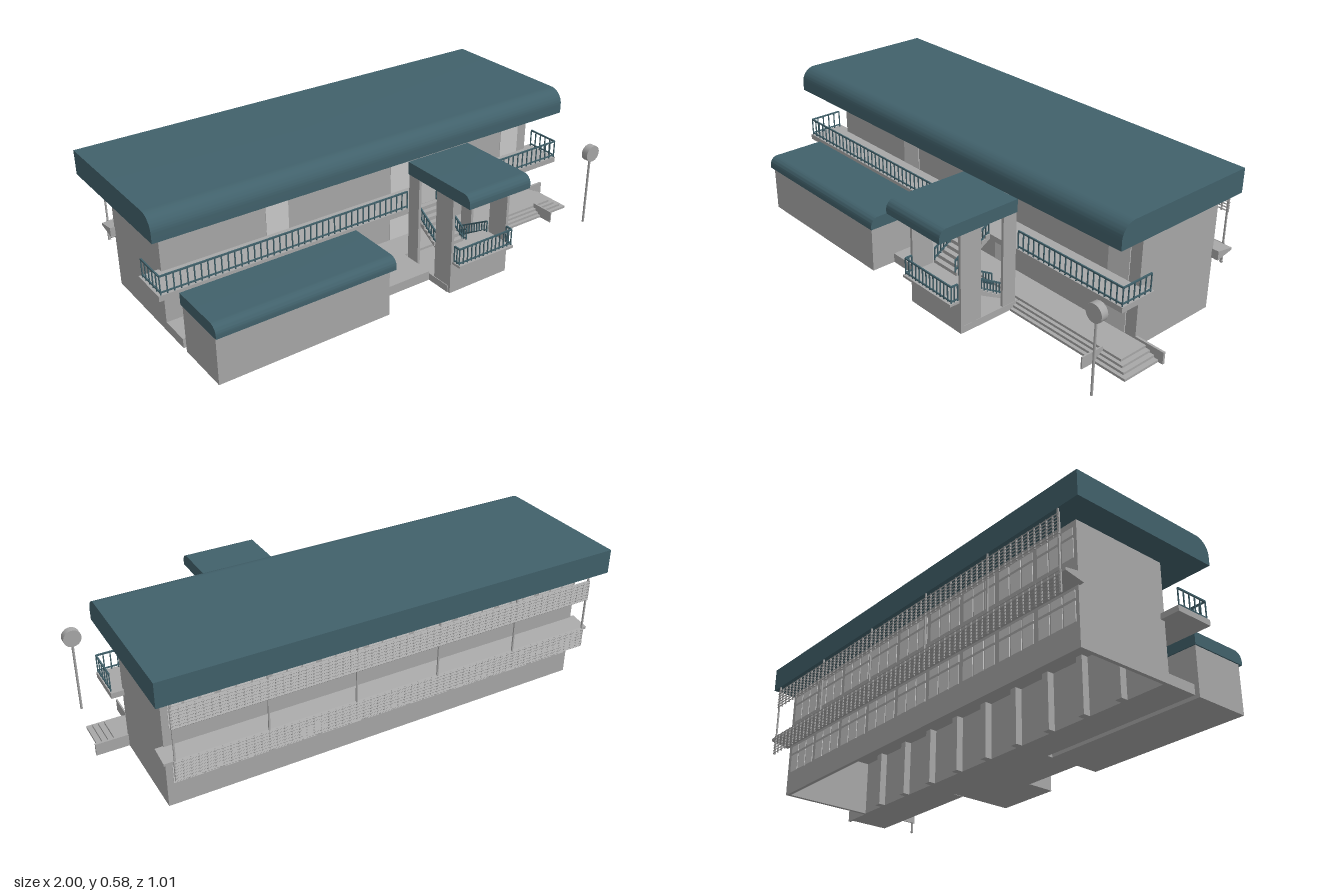
import * as THREE from 'three';
import { toCreasedNormals } from 'three/addons/utils/BufferGeometryUtils.js';

const material = (name, color) => {
  const m = new THREE.MeshStandardMaterial({ color });
  m.name = name;
  return m;
};

export function createModel() {
  const model = new THREE.Group();
  model.name = 'twoStoreyGalleryBuilding';
  const concrete = material('concrete grey', 0xa8a8a8);
  const teal = material('roof teal', 0x41616b);
  const glass = material('pale glass', 0xcacaca);

  const group = (name) => {
    const g = new THREE.Group();
    g.name = name;
    model.add(g);
    return g;
  };
  const add = (parent, name, geo, mat) => {
    const m = new THREE.Mesh(geo, mat);
    m.name = name;
    parent.add(m);
    return m;
  };
  // Box given by its limits on each axis
  const box = (parent, name, mat, x0, x1, y0, y1, z0, z1) => {
    const m = add(parent, name, new THREE.BoxGeometry(x1 - x0, y1 - y0, z1 - z0), mat);
    m.position.set((x0 + x1) / 2, (y0 + y1) / 2, (z0 + z1) / 2);
    return m;
  };
  // Side profile (shape x is -z) swept along x
  const sweepX = (parent, name, mat, shape, x0, x1) => {
    let geo = new THREE.ExtrudeGeometry(shape, { depth: x1 - x0, bevelEnabled: false, curveSegments: 10 });
    geo.rotateY(Math.PI / 2).translate(x0, 0, 0);
    return add(parent, name, toCreasedNormals(geo, 0.5), mat);
  };
  const profile = (pts) => new THREE.Shape(pts.map(([z, y]) => new THREE.Vector2(-z, y)));
  // Slab roof with a rounded front top edge
  const roof = (name, x0, x1, y0, y1, zBack, zFront, r) => {
    const s = new THREE.Shape();
    s.moveTo(-zBack, y0);
    s.lineTo(-zBack, y1);
    s.lineTo(-zFront + r, y1);
    s.absarc(-zFront + r, y1 - r, r, Math.PI / 2, Math.PI, false);
    s.lineTo(-zFront, y0);
    s.closePath();
    sweepX(model, name, teal, s, x0, x1);
  };
  // Straight bar between two points
  const bar = (parent, name, a, b, t) => {
    const m = add(parent, name, new THREE.BoxGeometry(t, t, a.distanceTo(b)), teal);
    m.position.copy(a).lerp(b, 0.5);
    m.lookAt(b);
  };
  // Railing between two floor points
  const railing = (parent, from, to, height, gap = 0.01, step = 0.027) => {
    const a = new THREE.Vector3(...from), b = new THREE.Vector3(...to);
    const up = (p, h) => p.clone().add(new THREE.Vector3(0, h, 0));
    bar(parent, 'topRail', up(a, height), up(b, height), 0.006);
    bar(parent, 'bottomRail', up(a, gap), up(b, gap), 0.005);
    const n = Math.max(2, Math.round(a.distanceTo(b) / step));
    for (let i = 0; i <= n; i++) {
      const p = a.clone().lerp(b, i / n);
      box(parent, 'baluster', teal, p.x - 0.002, p.x + 0.002, p.y, p.y + height, p.z - 0.002, p.z + 0.002);
    }
  };

  // Main block: four walls, open underneath, with an upper floor and ceiling
  const main = group('mainBlock');
  box(main, 'frontWall', concrete, -0.91, 0.87, 0, 0.47, -0.025, -0.01);
  box(main, 'backWall', concrete, -0.91, 0.87, 0, 0.47, -0.42, -0.405);
  box(main, 'leftEndWall', concrete, 0.855, 0.87, 0, 0.47, -0.405, -0.025);
  box(main, 'rightEndWall', concrete, -0.91, -0.895, 0, 0.47, -0.405, -0.025);
  box(main, 'upperFloor', concrete, -0.895, 0.855, 0.235, 0.25, -0.405, -0.025);
  box(main, 'ceiling', concrete, -0.895, 0.855, 0.455, 0.47, -0.405, -0.025);
  for (let i = 0; i < 9; i++) {
    const x = -0.72 + i * 0.18;
    box(main, 'innerPier', concrete, x - 0.015, x + 0.015, 0, 0.235, -0.055, -0.025);
  }

  // Front doors and high strip windows on both floors
  const openings = group('frontOpenings');
  const pane = (name, x0, x1, y0, y1, z = -0.01) =>
    box(openings, name, glass, x0, x1, y0, y1, z - 0.003, z + 0.003);
  for (const x of [-0.47, 0.12, 0.72]) {
    pane('upperDoor', x, x + 0.1, 0.262, 0.45);
    pane('lowerDoor', x, x + 0.1, 0.042, 0.222);
  }
  for (const x of [-0.895, -0.7, -0.31, -0.11, 0.285, 0.48]) {
    pane('upperStripWindow', x, x + 0.18, 0.415, 0.45);
    pane('lowerStripWindow', x, x + 0.18, 0.19, 0.222);
  }

  // Rear windows: a tall band with small lights above
  for (const floor of [0, 0.235]) {
    for (let i = 0; i < 9; i++) {
      for (let j = 0; j < 3; j++) {
        const x = -0.895 + i * 0.196 + j * 0.06;
        pane('rearWindow', x, x + 0.052, floor + 0.095, floor + 0.17, -0.42);
        pane('rearTopLight', x, x + 0.052, floor + 0.18, floor + 0.21, -0.42);
      }
    }
  }

  // Roofs
  roof('mainRoof', -1, 0.91, 0.48, 0.58, -0.5, 0.15, 0.062);
  roof('annexRoof', -0.915, -0.158, 0.2, 0.25, 0.14, 0.4, 0.036);
  roof('stairTowerRoof', 0.097, 0.4, 0.417, 0.47, 0.137, 0.505, 0.036);

  // Rear ledge and sun screens
  const rear = group('rearSunScreen');
  sweepX(rear, 'rearLedge', concrete,
    profile([[-0.415, 0.222], [-0.415, 0.26], [-0.495, 0.248], [-0.495, 0.238]]), -0.93, 0.9);
  for (const y0 of [0.165, 0.38]) {
    for (let i = 0; i < 7; i++) {
      const slat = box(rear, 'slat', concrete, -0.91, 0.865, -0.0015, 0.0015, -0.006, 0.006);
      slat.position.set(-0.0225, y0 + 0.006 + i * 0.0125, -0.498);
      slat.rotation.x = -0.7;
    }
    for (let i = 0; i <= 60; i++) {
      const x = -0.91 + i * 0.02955;
      box(rear, 'fin', concrete, x - 0.002, x + 0.002, y0, y0 + 0.084, -0.5, -0.494);
    }
  }
  for (let i = 0; i <= 5; i++) {
    const x = -0.905 + i * 0.353;
    box(rear, 'screenPost', concrete, x - 0.003, x + 0.003, 0.165, 0.48, -0.499, -0.493);
  }

  // Upper gallery along the front
  const gallery = group('gallery');
  box(gallery, 'gallerySlab', concrete, -0.99, 0.92, 0.237, 0.26, -0.03, 0.135);
  railing(gallery, [-0.98, 0.26, 0.13], [0.1, 0.26, 0.13], 0.075);
  railing(gallery, [0.4, 0.26, 0.13], [0.915, 0.26, 0.13], 0.075);
  railing(gallery, [-0.98, 0.26, -0.015], [-0.98, 0.26, 0.13], 0.075);
  railing(gallery, [0.915, 0.26, -0.015], [0.915, 0.26, 0.13], 0.075);

  // Ground terrace with wrap-around steps
  const terrace = group('terrace');
  box(terrace, 'terraceFloor', concrete, -0.91, 0.9, 0, 0.04, -0.01, 0.12);
  for (let i = 0; i < 4; i++)
    box(terrace, 'step', concrete, 0.4, 0.92 + i * 0.02, 0, 0.04 - i * 0.01, -0.01, 0.12 + i * 0.015);
  box(terrace, 'entrancePaving', concrete, -0.18, 0.1, 0, 0.04, 0.12, 0.28);
  box(terrace, 'stepCheekWall', concrete, 0.828, 0.834, 0, 0.05, 0.12, 0.225);
  box(terrace, 'endCheekWall', concrete, 0.87, 1, 0, 0.05, -0.02, -0.01);

  // Single-storey annex
  box(model, 'annex', concrete, -0.91, -0.178, 0, 0.2, 0.145, 0.385);

  // Stair tower: side piers, low front wall, landing
  const tower = group('stairTower');
  for (const x of [0.103, 0.383]) {
    box(tower, 'frontPier', concrete, x, x + 0.012, 0, 0.417, 0.308, 0.405);
    box(tower, 'backPier', concrete, x, x + 0.012, 0, 0.417, 0.137, 0.2);
  }
  box(tower, 'frontLowWall', concrete, 0.115, 0.383, 0, 0.131, 0.393, 0.405);
  box(tower, 'towerFloor', concrete, 0.1, 0.396, 0, 0.03, 0.12, 0.393);
  box(tower, 'landing', concrete, 0.115, 0.383, 0.131, 0.141, 0.3, 0.405);
  box(tower, 'landingBalcony', concrete, 0.11, 0.388, 0.131, 0.141, 0.405, 0.45);
  railing(tower, [0.115, 0.141, 0.44], [0.383, 0.141, 0.44], 0.07, 0.008, 0.02);
  for (const x of [0.115, 0.383]) railing(tower, [x, 0.141, 0.41], [x, 0.141, 0.44], 0.07, 0.008, 0.015);

  // Two stair flights: stepped profile with a sloping soffit
  const flight = (name, x0, x1, z0, y0, z1, y1, n) => {
    const pts = [[z0, y0]];
    const dz = (z1 - z0) / n, dy = (y1 - y0) / n;
    for (let i = 0; i < n; i++)
      pts.push([z0 + i * dz, y0 + (i + 1) * dy], [z0 + (i + 1) * dz, y0 + (i + 1) * dy]);
    pts.push([z1, y1 - 0.02]);
    sweepX(tower, name, concrete, profile(pts), x0, x1);
    for (const x of [x0 + 0.006, x1 - 0.006])
      railing(tower, [x, y0 + dy, z0], [x, y1, z1], 0.05, 0.01, 0.018);
  };
  flight('lowerFlight', 0.26, 0.382, 0.14, 0.03, 0.305, 0.14, 8);
  flight('upperFlight', 0.116, 0.25, 0.305, 0.14, 0.137, 0.26, 8);

  // Clock on a pole
  const clock = group('poleClock');
  const pole = add(clock, 'pole', new THREE.CylinderGeometry(0.005, 0.005, 0.302, 10), concrete);
  pole.position.set(0.955, 0.151, 0.303);
  const drum = add(clock, 'drum', new THREE.CylinderGeometry(0.036, 0.036, 0.03, 24), concrete);
  drum.rotation.x = Math.PI / 2;
  drum.position.set(0.955, 0.335, 0.303);

  return model;
}
